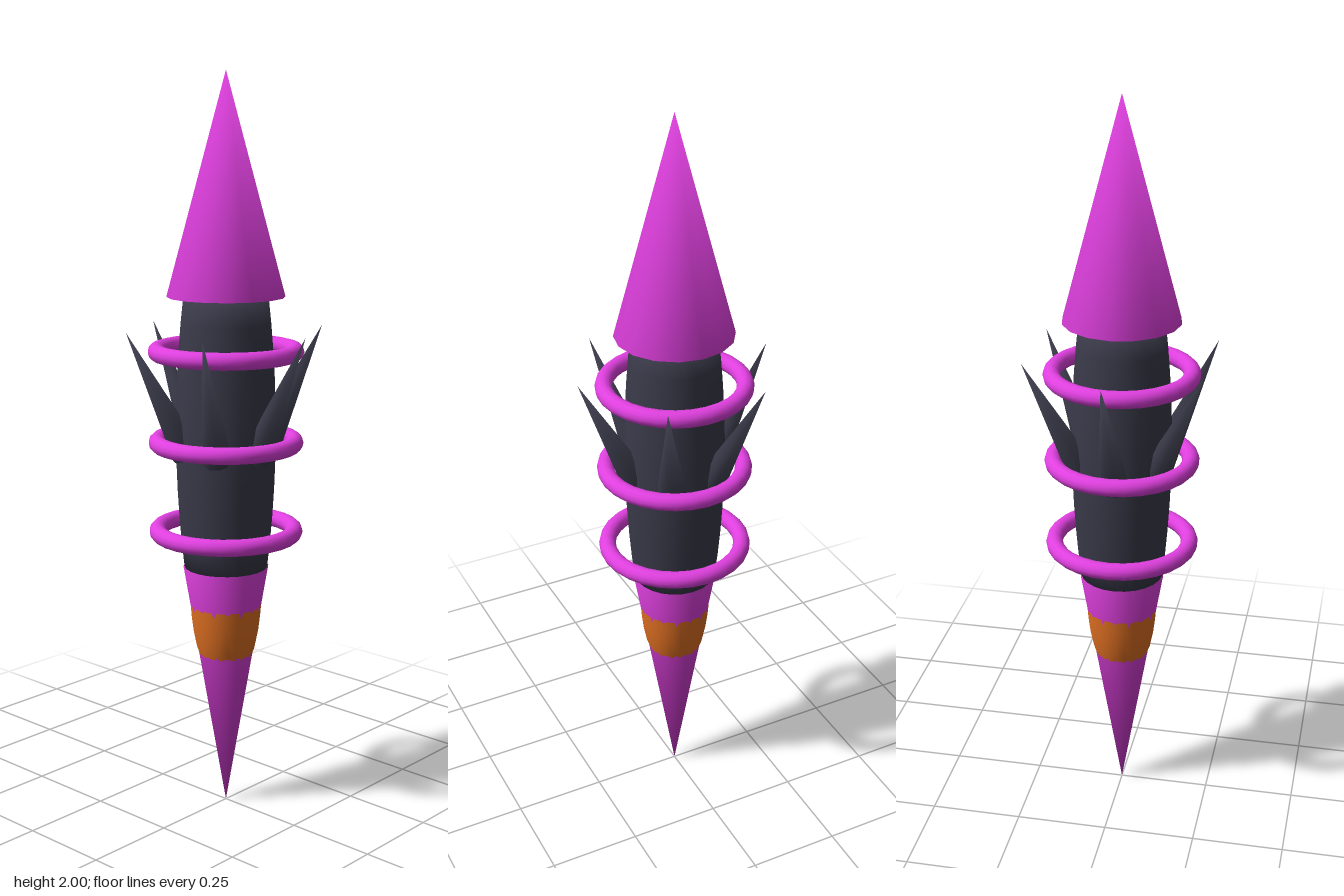
import * as THREE from 'three';
import { mergeVertices } from 'three/addons/utils/BufferGeometryUtils.js';

const magenta = new THREE.MeshStandardMaterial({ color: 0xe040e0 });
magenta.name = 'magenta';
const charcoal = new THREE.MeshStandardMaterial({ color: 0x3a3a4a });
charcoal.name = 'charcoal';
const orange = new THREE.MeshStandardMaterial({ color: 0xe07022 });
orange.name = 'orange';

// Closed cone whose normals run smoothly over the base edge
function softCone(radius, height, sides) {
  const cone = new THREE.ConeGeometry(radius, height, sides);
  cone.deleteAttribute('uv');
  cone.deleteAttribute('normal');
  const merged = mergeVertices(cone, 1e-4);
  merged.computeVertexNormals();
  return merged;
}

function lathe(points, sides) {
  return new THREE.LatheGeometry(points.map(([r, y]) => new THREE.Vector2(r, y)), sides);
}

export function createModel() {
  const group = new THREE.Group();
  const add = (name, geometry, material, y = 0) => {
    const mesh = new THREE.Mesh(geometry, material);
    mesh.name = name;
    mesh.position.y = y;
    group.add(mesh);
    return mesh;
  };

  // Pointed tip and inverted tail cone
  add('tip', softCone(0.157, 0.58, 16), magenta, 1.71);
  add('tail', softCone(0.116, 0.685, 16).rotateX(Math.PI), magenta, 0.3425);

  // Gently swollen shaft, with closed ends inside the cones
  const shaft = [];
  for (let i = 0; i <= 10; i++) {
    const t = i / 5 - 1;
    shaft.push([0.134 - 0.022 * t * t, 1.05 + 0.375 * t]);
  }
  add('shaft', lathe([[0, 0.675], ...shaft, [0, 1.425]], 24), charcoal);

  // Bulging band around the tail
  add('tailBand', lathe([[0.069, 0.425], [0.08, 0.455], [0.089, 0.5],
    [0.094, 0.54], [0.097, 0.576]], 24), orange);

  // Floating rings
  for (const y of [0.785, 1.03, 1.275]) {
    add('ring', new THREE.TorusGeometry(0.185, 0.023, 12, 28).rotateX(Math.PI / 2), magenta, y);
  }

  // Six thorns leaning outwards
  const base = new THREE.Vector3(0.107, 1.0, 0);
  const point = new THREE.Vector3(0.272, 1.335, 0);
  const axis = point.clone().sub(base);
  const thorn = softCone(0.042, axis.length(), 10);
  thorn.rotateZ(-Math.atan2(axis.x, axis.y));
  thorn.translate((base.x + point.x) / 2, (base.y + point.y) / 2, 0);
  for (let i = 0; i < 6; i++) {
    add('thorn', thorn, charcoal).rotation.y = i * Math.PI / 3;
  }
  return group;
}
